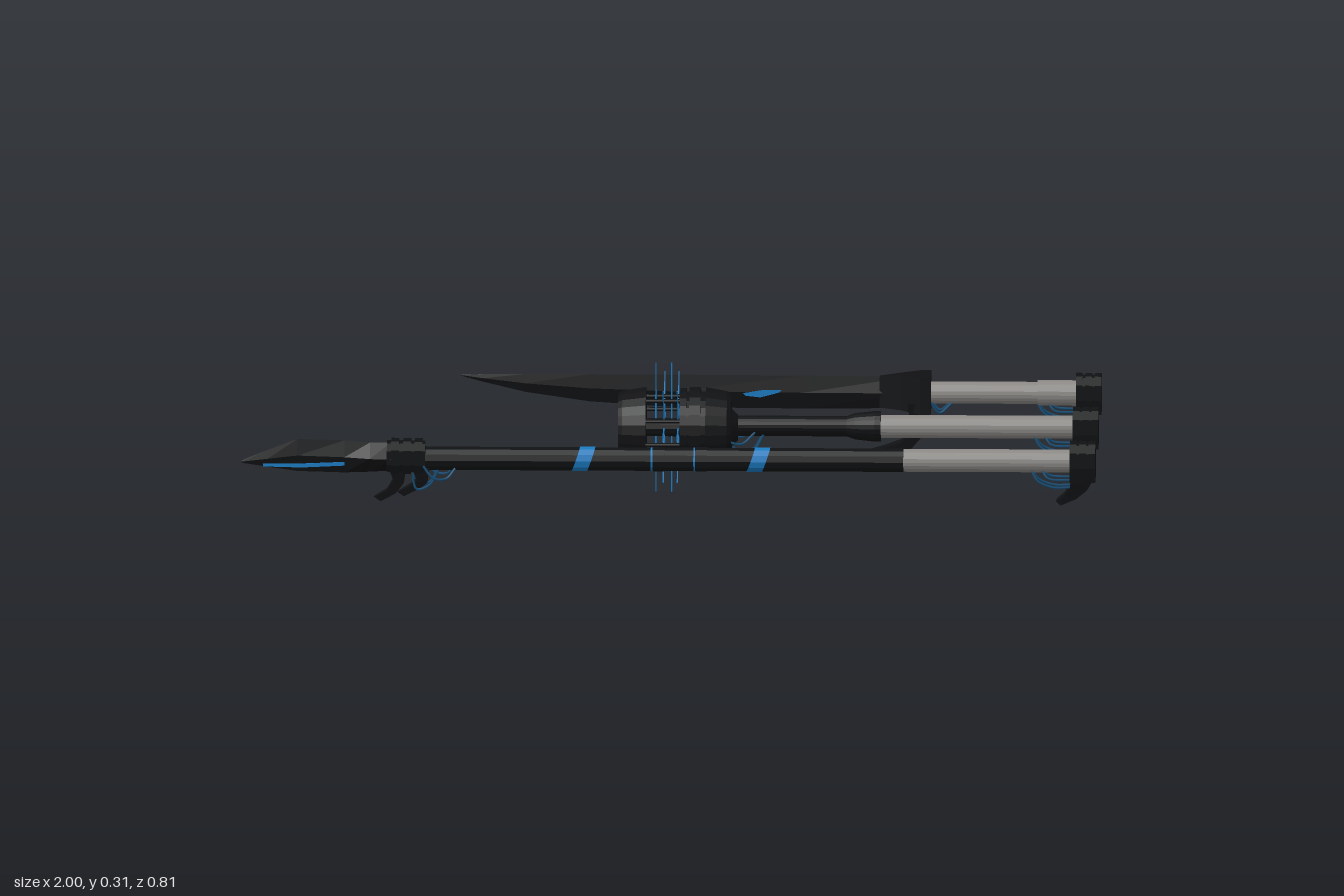
import * as THREE from 'three';

const mat = (color) => new THREE.MeshStandardMaterial({ color });
const black = mat(0x101113), blue = mat(0x1a78bd), darkBlue = mat(0x154a70), grey = mat(0x8a8784);
const AXIS = 0.16;

function add(parent, name, geometry, material) {
  const mesh = new THREE.Mesh(geometry, material);
  mesh.name = name;
  parent.add(mesh);
  return mesh;
}

// Turned part along x; profile is a list of [x, radius]
function turned(parent, name, profile, material, sides = 20, y = AXIS) {
  const geo = new THREE.LatheGeometry(profile.map(([x, r]) => new THREE.Vector2(r, x)), sides);
  geo.rotateZ(-Math.PI / 2);
  const flat = geo.toNonIndexed();
  flat.computeVertexNormals();
  const mesh = add(parent, name, flat, material);
  mesh.position.y = y;
  return mesh;
}

const rod = (parent, name, x0, x1, r, material, sides = 20, y = AXIS) =>
  turned(parent, name, [[x0, 0], [x0, r], [x1, r], [x1, 0]], material, sides, y);

// Loft through stations [ax, ay, bx, by, halfWidth]; diamond or box cross-section
function loft(parent, name, stations, material, diamond = false) {
  const pos = [], idx = [], n = stations.length;
  for (const [ax, ay, bx, by, w] of stations) {
    const mx = (ax + bx) / 2, my = (ay + by) / 2;
    if (diamond) pos.push(ax, ay, 0, mx, my, w, bx, by, 0, mx, my, -w);
    else pos.push(ax, ay, w, bx, by, w, bx, by, -w, ax, ay, -w);
  }
  for (let i = 0; i < n - 1; i++) {
    for (let j = 0; j < 4; j++) {
      const a = i * 4 + j, b = i * 4 + (j + 1) % 4;
      idx.push(a, b, b + 4, a, b + 4, a + 4);
    }
  }
  const e = (n - 1) * 4;
  idx.push(0, 2, 1, 0, 3, 2, e, e + 1, e + 2, e, e + 2, e + 3);
  // Turn the faces outward whichever way the loft runs
  const v = (k) => new THREE.Vector3().fromArray(pos, k * 3);
  let volume = 0;
  for (let i = 0; i < idx.length; i += 3) volume += v(idx[i]).dot(v(idx[i + 1]).cross(v(idx[i + 2])));
  if (volume < 0) idx.reverse();
  const geo = new THREE.BufferGeometry();
  geo.setAttribute('position', new THREE.Float32BufferAttribute(pos, 3));
  geo.setIndex(idx);
  const flat = geo.toNonIndexed();
  flat.computeVertexNormals();
  return add(parent, name, flat, material);
}

// Slab with a chamfered top, running from x0 to x1
function collar(parent, name, x0, x1, s = 1, bottom = 0.115) {
  const half = [[0.021, 0.204], [0.042, 0.187], [0.042, 0.15], [0.035, bottom]];
  const pts = [...half, ...half.map(([z, y]) => [-z, y]).reverse()];
  const shape = new THREE.Shape(pts.map(([z, y]) => new THREE.Vector2(z * s, AXIS + (y - AXIS) * s)));
  const geo = new THREE.ExtrudeGeometry(shape, { depth: x1 - x0, bevelEnabled: false });
  geo.rotateY(Math.PI / 2);
  geo.translate(x0, 0, 0);
  return add(parent, name, geo, black);
}

function cable(parent, points, r = 0.003) {
  const curve = new THREE.CatmullRomCurve3(points.map((p) => new THREE.Vector3(...p)));
  add(parent, 'cable', new THREE.TubeGeometry(curve, 16, r, 6), darkBlue);
}

// Ribbed end cap with a hooked spur and two small cables
function pommel(parent) {
  const group = new THREE.Group();
  group.name = 'pommel';
  parent.add(group);
  for (const x of [0.94, 0.962, 0.984]) collar(group, 'pommelRib', x, x + 0.016);
  collar(group, 'pommelCore', 0.945, 0.995, 0.92);
  loft(group, 'pommelSpur', [
    [0.945, 0.15, 1, 0.15, 0.04], [0.945, 0.12, 0.997, 0.125, 0.035],
    [0.94, 0.1, 0.98, 0.095, 0.028], [0.928, 0.082, 0.955, 0.073, 0.021], [0.908, 0.066, 0.918, 0.056, 0.015],
  ], black);
  for (const s of [-1, 1]) {
    cable(group, [[0.85, 0.14, s * 0.012], [0.865, 0.115, s * 0.016], [0.9, 0.1, s * 0.016], [0.945, 0.1, s * 0.014]]);
    cable(group, [[0.875, 0.14, s * 0.014], [0.89, 0.122, s * 0.02], [0.945, 0.118, s * 0.018]]);
  }
}

function spear() {
  const g = new THREE.Group();
  g.name = 'spear';
  pommel(g);
  rod(g, 'grip', 0.54, 0.945, 0.027, grey);
  rod(g, 'shaft', -0.6, 0.55, 0.028, black, 12);
  // Slanted glowing bands
  for (const x of [-0.2, 0.21]) {
    const band = rod(g, 'glowBand', -0.018, 0.018, 0.0295, blue, 12);
    band.geometry.attributes.position.array.forEach((v, i, a) => { if (i % 3 === 0) a[i] += a[i + 1] * 0.35; });
    band.position.x = x;
  }
  for (const x of [-0.04, 0.06]) {
    rod(g, 'glowRing', x - 0.002, x + 0.002, 0.0285, blue, 12);
    rod(g, 'sleeve', x + 0.004, x + 0.03, 0.0295, black, 12);
  }
  // Socket and claws
  for (const x of [-0.595, -0.622, -0.65]) collar(g, 'socketRib', x, x + 0.019, 1, 0.13);
  collar(g, 'socket', -0.66, -0.57, 0.88, 0.13);
  for (const [dx, dy] of [[0, 0], [0.055, 0.012]]) {
    loft(g, 'claw', [
      [-0.655 + dx, 0.14, -0.615 + dx, 0.14, 0.025], [-0.645 + dx, 0.11, -0.62 + dx, 0.105, 0.02],
      [-0.66 + dx, 0.085 + dy, -0.64 + dx, 0.078 + dy, 0.015], [-0.69 + dx, 0.068 + dy, -0.675 + dx, 0.058 + dy, 0.008],
    ], black);
  }
  // Spearhead
  loft(g, 'spearhead', [
    [-0.65, 0.198, -0.65, 0.13, 0.038], [-0.7, 0.197, -0.7, 0.127, 0.022], [-0.76, 0.202, -0.76, 0.125, 0.01],
    [-0.87, 0.205, -0.87, 0.128, 0.007], [-0.94, 0.178, -0.94, 0.138, 0.005], [-1, 0.153, -1, 0.147, 0.001],
  ], black, true);
  for (const s of [-1, 1]) {
    const edge = loft(g, 'glowEdge', [
      [-0.76, 0.152, -0.76, 0.143, 0.003], [-0.86, 0.147, -0.86, 0.138, 0.003], [-0.95, 0.146, -0.95, 0.14, 0.002],
    ], blue);
    edge.position.z = s * 0.005;
    cable(g, [[-0.575, 0.15, s * 0.038], [-0.55, 0.12, s * 0.04], [-0.52, 0.118, s * 0.03], [-0.5, 0.14, s * 0.02]]);
    cable(g, [[-0.6, 0.12, s * 0.02], [-0.59, 0.09, s * 0.02], [-0.56, 0.1, s * 0.018], [-0.54, 0.135, s * 0.015]]);
  }
  return g;
}

function mace() {
  const g = new THREE.Group();
  const y = 0.156;
  g.name = 'mace';
  pommel(g);
  rod(g, 'grip', 0.48, 0.945, 0.027, grey);
  turned(g, 'shaft', [[0.13, 0], [0.13, 0.024], [0.41, 0.024], [0.43, 0.031], [0.475, 0.036], [0.49, 0.036], [0.49, 0]], black);
  // Head: outer drum, cage and inner drum
  turned(g, 'outerDrum', [[-0.125, 0], [-0.125, 0.08], [-0.115, 0.085], [-0.06, 0.094], [-0.06, 0]], black, 24, y);
  turned(g, 'innerDrum', [
    [0.02, 0], [0.02, 0.092], [0.035, 0.092], [0.035, 0.084], [0.042, 0.084], [0.042, 0.094], [0.068, 0.094], [0.068, 0.084],
    [0.08, 0.084], [0.08, 0.094], [0.13, 0.085], [0.14, 0.078], [0.14, 0.045], [0.155, 0.03], [0.155, 0],
  ], black, 24, y);
  rod(g, 'core', -0.07, 0.03, 0.022, black, 12, y);
  for (let i = 0; i < 8; i++) {
    const a = i * Math.PI / 4;
    const bar = rod(g, 'cageBar', -0.065, 0.025, 0.005, black, 8, y + 0.074 * Math.cos(a + 0.39));
    bar.position.z = 0.074 * Math.sin(a + 0.39);
    // Paired radial needles
    const xs = i % 4 === 0 ? [-0.037, 0] : [-0.018, 0.015];
    for (const x of xs) {
      const geo = new THREE.CylinderGeometry(0.0015, 0.0025, 0.14, 6);
      geo.translate(0, 0.085, 0);
      const needle = add(g, 'needle', geo, blue);
      needle.rotation.x = a;
      needle.position.set(x, y, 0);
    }
  }
  // Cables from the head to the shaft
  for (const s of [-1, 1]) {
    cable(g, [[0.135, 0.11, s * 0.025], [0.16, 0.092, s * 0.025], [0.19, 0.1, s * 0.02], [0.215, 0.142, s * 0.014]]);
    cable(g, [[0.135, 0.13, s * 0.045], [0.165, 0.125, s * 0.04], [0.195, 0.148, s * 0.02]]);
  }
  return g;
}

function sword() {
  const g = new THREE.Group();
  g.name = 'sword';
  pommel(g);
  rod(g, 'grip', 0.59, 0.945, 0.026, grey);
  rod(g, 'gripSleeve', 0.85, 0.945, 0.03, grey);
  // Blade: straight back, curved cutting edge
  loft(g, 'blade', [
    [0.55, 0.197, 0.55, 0.122, 0.012], [0.3, 0.199, 0.3, 0.12, 0.008], [0, 0.2, 0, 0.122, 0.007], [-0.2, 0.2, -0.2, 0.135, 0.006],
    [-0.35, 0.2, -0.35, 0.157, 0.005], [-0.45, 0.199, -0.45, 0.181, 0.003], [-0.5, 0.198, -0.5, 0.195, 0.001],
  ], black, true);
  for (const s of [-1, 1]) {
    const mark = loft(g, 'glowMark', [
      [0.25, 0.166, 0.245, 0.16, 0.002], [0.21, 0.166, 0.2, 0.148, 0.002], [0.16, 0.158, 0.165, 0.152, 0.002],
    ], blue);
    mark.position.z = s * 0.007;
    cable(g, [[0.6, 0.14, s * 0.02], [0.62, 0.115, s * 0.018], [0.65, 0.138, s * 0.012]]);
  }
  // Guard flaring to the grip, with a finger hook below
  loft(g, 'guard', [
    [0.48, 0.198, 0.48, 0.125, 0.009], [0.53, 0.202, 0.53, 0.122, 0.024],
    [0.575, 0.204, 0.575, 0.115, 0.042], [0.6, 0.204, 0.6, 0.115, 0.042],
  ], black);
  loft(g, 'guardHook', [
    [0.545, 0.14, 0.598, 0.14, 0.038], [0.552, 0.1, 0.588, 0.1, 0.033], [0.548, 0.065, 0.58, 0.06, 0.027],
    [0.53, 0.043, 0.555, 0.03, 0.022], [0.49, 0.03, 0.5, 0.014, 0.016], [0.458, 0.022, 0.455, 0.007, 0.009],
  ], black);
  return g;
}

export function createModel() {
  const model = new THREE.Group();
  model.name = 'weaponSet';
  [[spear(), 0.362], [mace(), 0], [sword(), -0.366]].forEach(([weapon, z]) => {
    weapon.position.z = z;
    model.add(weapon);
  });
  return model;
}
